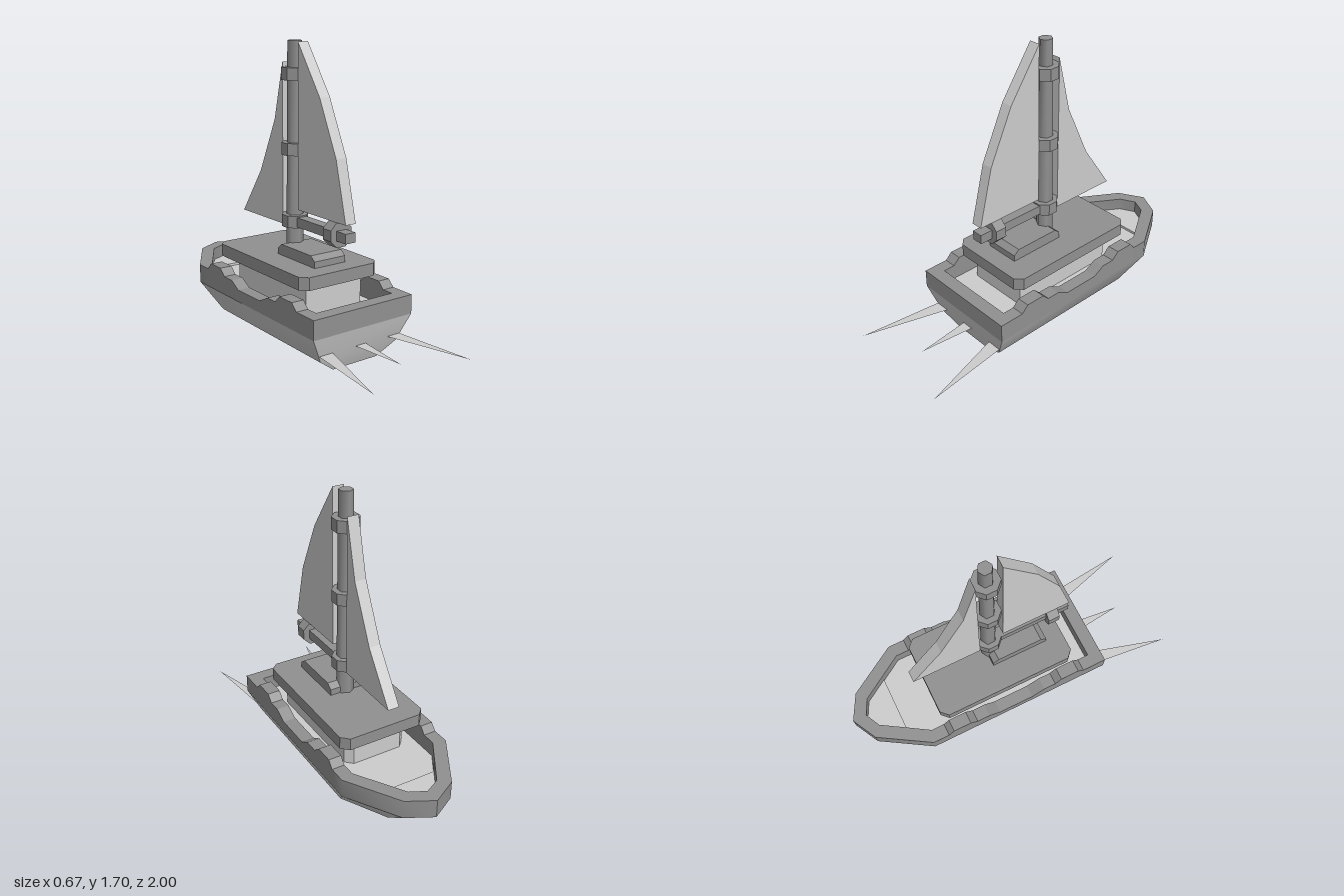
import * as THREE from 'three';
import { toCreasedNormals } from 'three/addons/utils/BufferGeometryUtils.js';

const light = new THREE.MeshStandardMaterial({ color: 0xcccccc });
light.name = 'light grey';
const dark = new THREE.MeshStandardMaterial({ color: 0x909090 });
dark.name = 'dark grey';
const lightThin = new THREE.MeshStandardMaterial({ color: 0xcccccc, side: THREE.DoubleSide });
lightThin.name = 'light grey thin';

const CREASE = 0.7;
const mirrored = (half) => [...half, ...half.filter(([x]) => x !== 0).reverse().map(([x, z]) => [-x, z])];

// Extrude an [x, z] outline upwards from y0 to y1
function plan(points, y0, y1) {
  const shape = new THREE.Shape(points.map(([x, z]) => new THREE.Vector2(x, -z)));
  const geo = new THREE.ExtrudeGeometry(shape, { depth: y1 - y0, bevelEnabled: false });
  return toCreasedNormals(geo.rotateX(-Math.PI / 2).translate(0, y0, 0), CREASE);
}

// Extrude a [z, y] side profile across x from x0 to x1
function profile(points, x0, x1) {
  const shape = new THREE.Shape(points.map(([z, y]) => new THREE.Vector2(-z, y)));
  const geo = new THREE.ExtrudeGeometry(shape, { depth: x1 - x0, bevelEnabled: false });
  return geo.rotateY(Math.PI / 2).translate(x0, 0, 0);
}

// Skin the hull between half outlines, each [x, z] from stern to stem
function hullGeometry(levels) {
  const pos = [];
  const rings = levels.map(({ y, half }) => mirrored(half).map(([x, z]) => [x, y, z]));
  const n = rings[0].length;
  const tri = (a, b, c) => pos.push(...a, ...b, ...c);
  for (let k = 0; k < rings.length - 1; k++) {
    for (let i = 0; i < n; i++) {
      const j = (i + 1) % n;
      const [a, b, c, d] = [rings[k][i], rings[k][j], rings[k + 1][j], rings[k + 1][i]];
      tri(a, b, c);
      tri(a, c, d);
    }
  }
  // Flat bottom, strip by strip between the two sides
  const base = rings[0];
  for (let i = 0; i < n / 2 - 1; i++) {
    const [a, b, c, d] = [base[i], base[i + 1], base[n - 2 - i], base[n - 1 - i]];
    tri(a, c, b);
    tri(a, d, c);
  }
  const geo = new THREE.BufferGeometry();
  geo.setAttribute('position', new THREE.Float32BufferAttribute(pos, 3));
  return toCreasedNormals(geo, CREASE);
}

export function createModel() {
  const boat = new THREE.Group();
  boat.name = 'sailboat';
  const add = (name, geo, mat) => {
    const mesh = new THREE.Mesh(geo, mat);
    mesh.name = name;
    boat.add(mesh);
    return mesh;
  };

  // Lower hull
  add('hull', hullGeometry([
    { y: 0, half: [[0.15, 0.465], [0.15, -0.3], [0.08, -0.46], [0, -0.5]] },
    { y: 0.08, half: [[0.26, 0.5], [0.26, -0.48], [0.12, -0.74], [0, -0.8]] },
    { y: 0.23, half: [[0.335, 0.54], [0.335, -0.62], [0.15, -0.92], [0, -1]] },
  ]), lightThin);

  // Bulwark: bow loop, stern wall and two shaped sides
  const outer = mirrored([[0.335, -0.52], [0.335, -0.62], [0.15, -0.92], [0, -1]]);
  const inner = mirrored([[0.26, -0.52], [0.26, -0.6], [0.09, -0.87], [0, -0.915]]);
  add('bowBulwark', plan([...outer, ...inner.reverse()], 0.23, 0.34), dark);
  const stern = new THREE.BoxGeometry(0.67, 0.11, 0.08);
  add('sternBulwark', stern.translate(0, 0.285, 0.5), dark);
  const side = [[0.46, 0.23], [0.46, 0.34], [0.39, 0.34], [0.35, 0.38], [0.235, 0.38],
    [0.195, 0.34], [0.12, 0.34], [0.04, 0.3], [-0.18, 0.3], [-0.25, 0.34], [-0.33, 0.34],
    [-0.375, 0.38], [-0.485, 0.38], [-0.52, 0.34], [-0.52, 0.23]];
  add('leftBulwark', profile(side, 0.26, 0.335), dark);
  add('rightBulwark', profile(side, -0.335, -0.26), dark);

  // Decks
  add('deck', plan(mirrored([[0.262, 0.462], [0.262, -0.6], [0.178, -0.73]]), 0.225, 0.25), light);
  add('foredeck', plan(mirrored([[0.178, -0.73], [0.09, -0.872], [0, -0.917]]), 0.225, 0.265), light);

  // Cabin, roof and roof block
  add('cabin', plan(mirrored([[0.19, 0.275], [0.19, -0.4], [0.15, -0.44]]), 0.25, 0.425), light);
  add('roof', plan(mirrored([[0.22, 0.35], [0.262, 0.31], [0.262, -0.475], [0.22, -0.517]]), 0.42, 0.493), dark);
  add('roofBlock', profile([[0.24, 0.49], [0.24, 0.53], [0.205, 0.557], [-0.075, 0.557],
    [-0.11, 0.53], [-0.11, 0.49]], -0.105, 0.105), dark);

  // Mast with three octagonal bands
  const mastZ = -0.09;
  const mast = toCreasedNormals(new THREE.CylinderGeometry(0.04, 0.05, 1.21, 6), 1.1);
  add('mast', mast.translate(0, 1.095, mastZ), dark);
  const band = () => new THREE.CylinderGeometry(0.077, 0.077, 0.07, 8).rotateY(Math.PI / 8);
  [0.685, 1.1, 1.518].forEach((y, i) => {
    add('mastBand' + (i + 1), toCreasedNormals(band().translate(0, y, mastZ), CREASE), dark);
  });

  // Boom and its band
  add('boom', new THREE.BoxGeometry(0.066, 0.055, 0.47).translate(0, 0.685, 0.18), dark);
  add('boomBand', toCreasedNormals(band().rotateX(Math.PI / 2).translate(0, 0.69, 0.302), CREASE), dark);

  // Sails
  add('mainSail', profile([[-0.012, 0.76], [0.415, 0.76], [0.33, 1.1], [0.185, 1.41], [-0.012, 1.695]],
    -0.034, 0.034), light);
  add('jib', profile([[-0.16, 0.65], [-0.16, 1.58], [-0.24, 1.25], [-0.39, 0.93], [-0.585, 0.65]],
    -0.034, 0.034), light);

  // Flat wake streaks behind the stern
  const streaks = { rightWake: [-0.275, -0.185, -0.33, 1], middleWake: [-0.036, 0.036, 0, 0.83],
    leftWake: [0.185, 0.275, 0.33, 1] };
  for (const [name, [x0, x1, tipX, tipZ]] of Object.entries(streaks)) {
    const shape = new THREE.Shape([[x0, -0.5], [tipX, -tipZ], [x1, -0.5]].map((p) => new THREE.Vector2(...p)));
    add(name, new THREE.ShapeGeometry(shape).rotateX(-Math.PI / 2).translate(0, 0.12, 0), lightThin);
  }
  return boat;
}
